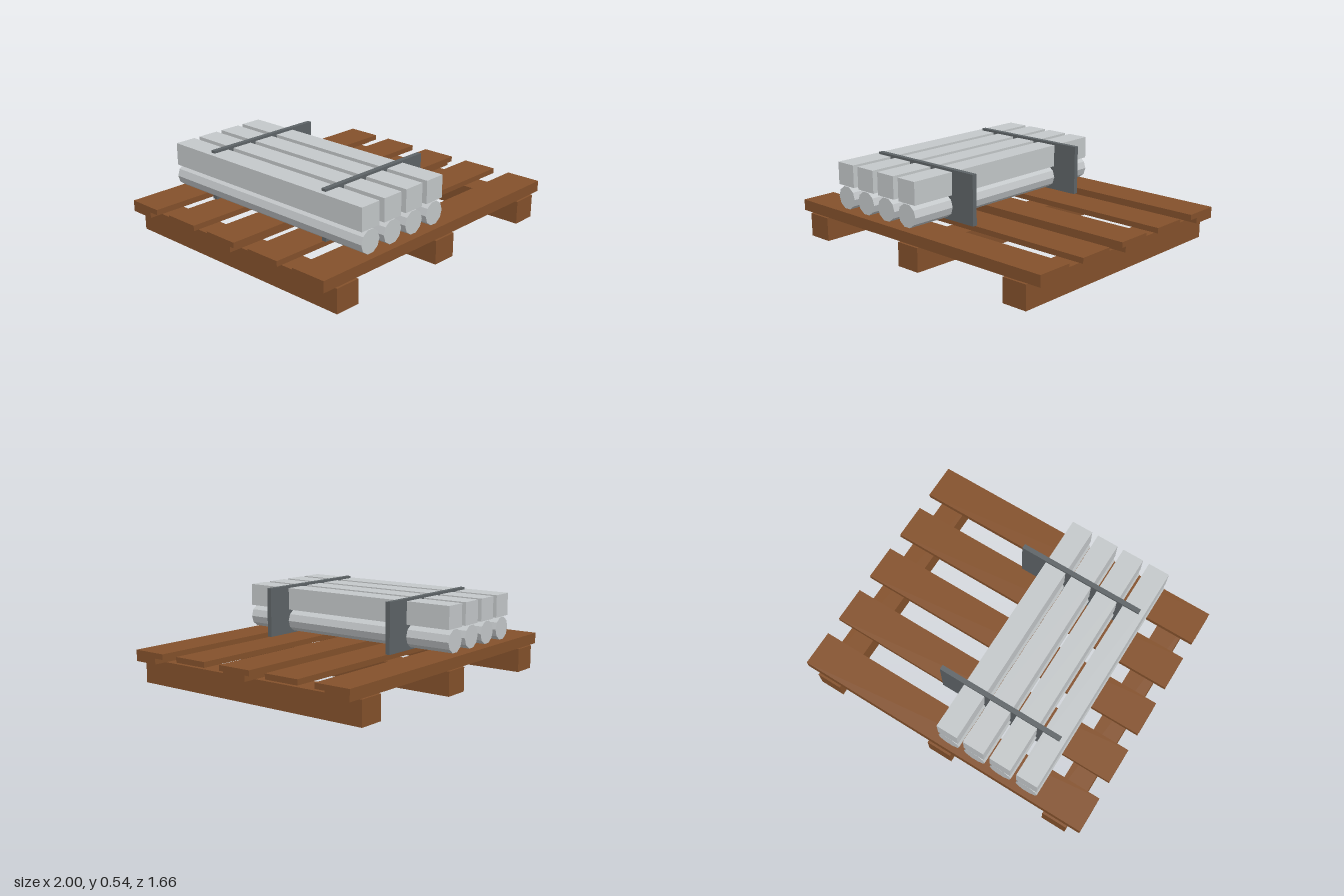
import * as THREE from 'three';

const material = (name, color) => Object.assign(new THREE.MeshStandardMaterial({ color }), { name });

export function createModel() {
  const model = new THREE.Group();
  model.name = 'loadedPallet';
  const wood = material('brown wood', 0x84512b);
  const paleMetal = material('pale metal', 0xc4c8ca);
  const darkMetal = material('dark metal', 0x5e6467);

  const add = (name, geometry, mat, x, y, z) => {
    const mesh = new THREE.Mesh(geometry, mat);
    mesh.name = name;
    mesh.position.set(x, y, z);
    model.add(mesh);
  };

  // Pallet: three bearers running front to back
  const bearer = new THREE.BoxGeometry(0.165, 0.15, 1.66);
  for (const x of [-0.832, 0, 0.832]) add('bearer', bearer, wood, x, 0.075, 0);

  // Cross boards resting on the bearers
  const crossBoard = new THREE.BoxGeometry(2, 0.036, 0.165);
  for (const z of [-0.733, 0, 0.733]) add('crossBoard', crossBoard, wood, 0, 0.168, z);

  // Wide deck boards on top
  const deckBoard = new THREE.BoxGeometry(2, 0.034, 0.232);
  for (let i = -2; i <= 2; i++) add('deckBoard', deckBoard, wood, 0, 0.203, i * 0.35);

  // Load: a row of ten-sided rods with square bars above them
  const rod = new THREE.CylinderGeometry(0.074, 0.074, 1.564, 10).toNonIndexed();
  rod.rotateX(Math.PI / 2);
  rod.rotateZ(Math.PI / 2);
  rod.computeVertexNormals();
  const bar = new THREE.BoxGeometry(0.141, 0.142, 1.564);
  for (let i = 0; i < 4; i++) {
    const x = -0.602 + i * 0.183;
    add('roundRod', rod, paleMetal, x, 0.303, 0);
    add('squareBar', bar, paleMetal, x, 0.449, 0);
  }

  // Upright retaining plates through the load
  const plate = new THREE.BoxGeometry(0.83, 0.315, 0.031);
  for (const z of [-0.468, 0.468]) add('retainingPlate', plate, darkMetal, -0.225, 0.3775, z);

  return model;
}
